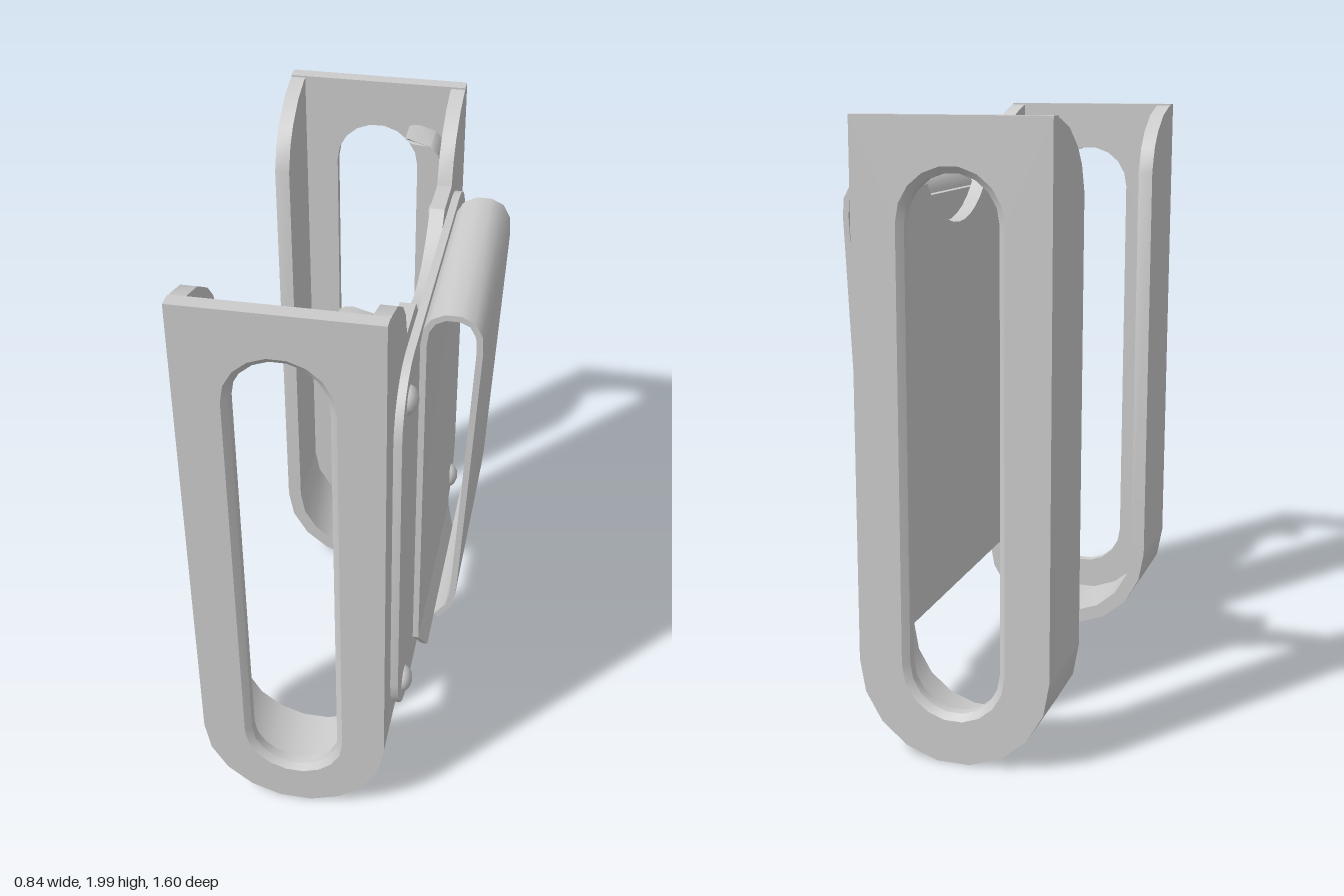
import * as THREE from 'three';
import { toCreasedNormals } from 'three/addons/utils/BufferGeometryUtils.js';

const CX = -0.11, LOW = 0.32, R = 0.31, WALL = 0.05;
const material = new THREE.MeshStandardMaterial({ color: 0xcccccc });
const V = (x, y) => new THREE.Vector2(x, y);

// Points along a circular arc, angles in degrees
function arc(cx, cy, r, from, to, segments) {
  return Array.from({ length: segments + 1 }, (_, i) => {
    const a = THREE.MathUtils.degToRad(from + (to - from) * i / segments);
    return V(cx + r * Math.cos(a), cy + r * Math.sin(a));
  });
}

// Stadium outline of the end window, counter-clockwise
const slot = (r) => [...arc(CX, LOW, r, 180, 360, 9), ...arc(CX, 1.69, r, 0, 180, 9)];

function extrude(shape, depth) {
  return new THREE.ExtrudeGeometry(shape, { depth, bevelEnabled: false });
}

function add(parent, name, geometry, crease = 0.6) {
  const mesh = new THREE.Mesh(toCreasedNormals(geometry, crease), material);
  mesh.name = name;
  parent.add(mesh);
  return mesh;
}

// Slab drawn in the z-y plane, filling x0..x1
function slab(points, x0, x1) {
  return extrude(new THREE.Shape(points), x1 - x0).rotateY(-Math.PI / 2).translate(x1, 0, 0);
}

// Bent sheet strip: x-y centre line with a thickness, centred on z = 0
function strip(points, thickness, width) {
  const left = [], right = [];
  points.forEach((p, i) => {
    const a = points[Math.max(i - 1, 0)], b = points[Math.min(i + 1, points.length - 1)];
    const d = b.clone().sub(a).normalize().multiplyScalar(thickness / 2);
    left.push(V(p.x - d.y, p.y + d.x));
    right.unshift(V(p.x + d.y, p.y - d.x));
  });
  return extrude(new THREE.Shape([...left, ...right]), width).translate(0, 0, -width / 2);
}

// Chamfered rim lining the end window
function windowRim() {
  const rows = [[0.168, 0.8], [0.147, 0.782], [0.147, 0.75], [0.168, 0.75]];
  const positions = [];
  const loops = rows.map(([r, z]) => slot(r).map((p) => [p.x, p.y, z]));
  const n = loops[0].length;
  for (let k = 0; k < 3; k++) {
    for (let i = 0; i < n; i++) {
      const j = (i + 1) % n, A = loops[k], B = loops[k + 1];
      positions.push(...A[i], ...A[j], ...B[j], ...A[i], ...B[j], ...B[i]);
    }
  }
  const g = new THREE.BufferGeometry();
  g.setAttribute('position', new THREE.Float32BufferAttribute(positions, 3));
  g.computeVertexNormals();
  return g;
}

function rivet(parent, name, x, y, z) {
  const mesh = add(parent, name, new THREE.SphereGeometry(0.047, 16, 10), 1);
  mesh.scale.x = 0.75;
  mesh.position.set(x, y, z);
}

export function createModel() {
  const model = new THREE.Group();

  // Curved shoulder from the end plate down to the inner edge of the side wall
  const shoulder = [V(0.75, 1.994), V(0.726, 1.99), V(0.636, 1.963), V(0.546, 1.905), V(0.498, 1.85), V(0.466, 1.765)];
  const flip = (pts) => pts.map((p) => V(-p.x, p.y)).reverse();

  // Broad wall joining both ends, with a shallow scoop in its top edge
  const scoopR = 0.375;
  const scoop = arc(0, 1.765 + 0.225, scoopR, -36.87, -143.13, 12);
  add(model, 'mainWall', slab([
    V(-0.75, LOW), V(0.75, LOW), ...shoulder, ...scoop, ...flip(shoulder),
  ], 0.2 - WALL, 0.2));

  for (const s of [1, -1]) {
    const end = new THREE.Group();
    end.name = s > 0 ? 'frontEnd' : 'backEnd';
    model.add(end);

    // End plate with its long window
    const plate = new THREE.Shape([V(-0.42, 2), ...arc(CX, LOW, R, 180, 360, 9), V(0.2, 2)]);
    plate.holes.push(new THREE.Path(slot(0.168).reverse()));
    add(end, 'endPlate', extrude(plate, WALL)).position.z = s > 0 ? 0.75 : -0.8;
    const rim = add(end, 'windowRim', windowRim());
    if (s < 0) {
      rim.rotation.y = Math.PI;
      rim.position.x = 2 * CX;
    }

    // Rounded floor
    const floor = new THREE.Shape([
      ...arc(CX, LOW, R, 180, 360, 9), ...arc(CX, LOW, R - WALL, 360, 180, 9),
    ]);
    add(end, 'roundedFloor', extrude(floor, 0.285)).position.z = s > 0 ? 0.465 : -0.75;

    // Narrow outer side wall
    const side = [V(0.466, LOW), V(0.75, LOW), ...shoulder];
    add(end, 'sideWall', slab(s > 0 ? side : flip(side), -0.42, -0.42 + WALL));

    // Spring tab inside, bent inwards at the top with a narrowed tip
    const tab = strip([
      V(0.144, 1.5), V(0.144, 1.79), V(0.136, 1.835), V(0.11, 1.865),
      V(0.055, 1.88), V(0.035, 1.884), V(0.022, 1.886),
    ], 0.012, 0.13);
    const p = tab.attributes.position;
    for (let i = 0; i < p.count; i++) {
      const x = p.getX(i);
      if (x < 0.03) p.setZ(i, p.getZ(i) * 0.6);
      else if (x < 0.045) p.setZ(i, p.getZ(i) * 0.88);
    }
    add(end, 'springTab', tab).position.z = s * 0.605;
    rivet(end, 'tabRivet', 0.14, 1.6, s * 0.58);

    // Rivets through the backing plate
    for (const y of [0.43, 1.6]) rivet(end, 'plateRivet', 0.22, y, s * 0.565);
  }

  // Backing plate with rounded corners
  const c = 0.2, w = 0.688 - c, top = 1.715 - c, bottom = LOW + c;
  add(model, 'backingPlate', slab([
    ...arc(w, bottom, c, -90, 0, 6), ...arc(w, top, c, 0, 90, 6),
    ...arc(-w, top, c, 90, 180, 6), ...arc(-w, bottom, c, 180, 270, 6),
  ], 0.2, 0.226));

  // Belt clip folded over from one strip
  add(model, 'beltClip', strip([
    V(0.236, 0.44), V(0.236, 1.67), V(0.243, 1.72), V(0.264, 1.754), V(0.3, 1.772),
    V(0.345, 1.772), V(0.382, 1.755), V(0.403, 1.715), V(0.407, 1.66),
    V(0.362, 0.72), V(0.357, 0.66), V(0.343, 0.61), V(0.305, 0.56),
  ], 0.02, 0.748), 0.8);

  // Flared lip with cut corners at the foot of the clip
  const lip = slab([V(-0.374, 0.44), V(-0.325, 0.365), V(0.325, 0.365), V(0.374, 0.44)], 0.226, 0.246);
  const q = lip.attributes.position;
  for (let i = 0; i < q.count; i++) q.setX(i, q.getX(i) + (0.44 - q.getY(i)) * 0.35);
  add(model, 'clipLip', lip);

  return model;
}
